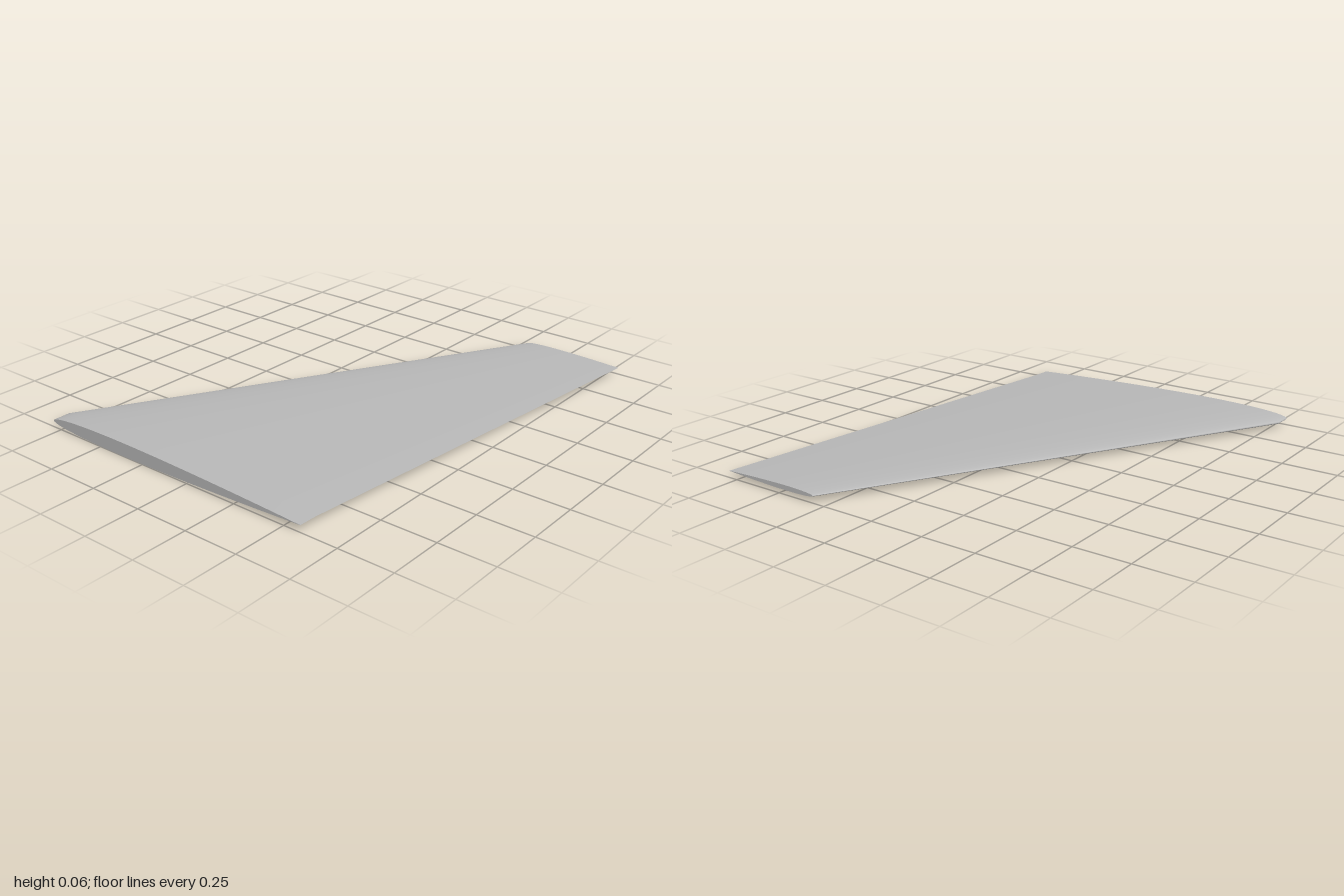
import * as THREE from 'three';

// Spanwise stations: z, leading edge x, trailing edge x, thickness
const STATIONS = [
  [1, -0.795, 0.58, 0.061],
  [0.92, -0.795, 0.583, 0.0605],
  [-1, 0.307, 0.793, 0.0212],
];
const STEPS = 64;
const MID_Y = 0.0305;

// Symmetric airfoil loop: trailing edge, over the top, round the nose, back underneath
function airfoil([, lead, trail, thick]) {
  const points = [];
  for (let j = 0; j <= STEPS; j++) {
    const a = (j / STEPS) * Math.PI * 2;
    const c = (1 + Math.cos(a)) / 2;
    const half = 5 * thick * (0.2969 * Math.sqrt(c) - 0.126 * c - 0.3516 * c ** 2 + 0.2843 * c ** 3 - 0.1036 * c ** 4);
    points.push(new THREE.Vector2(lead + (trail - lead) * c, MID_Y + (j <= STEPS / 2 ? half : -half)));
  }
  return points;
}

// Skin lofted through the stations, left open at the trailing edge so it stays sharp
function skinGeometry() {
  const positions = [], index = [], row = STEPS + 1;
  STATIONS.forEach((s, i) => {
    airfoil(s).forEach((p, j) => {
      positions.push(p.x, p.y, s[0]);
      if (i === STATIONS.length - 1 || j === STEPS) return;
      const a = i * row + j, b = a + 1, c = a + row, d = c + 1;
      index.push(a, c, b, b, c, d);
    });
  });
  const geometry = new THREE.BufferGeometry();
  geometry.setAttribute('position', new THREE.Float32BufferAttribute(positions, 3));
  geometry.setIndex(index);
  geometry.computeVertexNormals();
  return geometry;
}

// Flat end cap; the tip's outline is mirrored, then turned to face backwards
function capGeometry(station, facesBack) {
  const side = facesBack ? -1 : 1;
  const outline = airfoil(station).slice(0, STEPS).map((p) => new THREE.Vector2(p.x * side, p.y));
  const geometry = new THREE.ShapeGeometry(new THREE.Shape(outline));
  if (facesBack) geometry.rotateY(Math.PI);
  return geometry.translate(0, 0, station[0]);
}

export function createModel() {
  const model = new THREE.Group();
  model.name = 'wing';
  const grey = new THREE.MeshStandardMaterial({ color: 0xb8b8b8 });
  grey.name = 'light grey';

  const add = (name, geometry) => {
    const mesh = new THREE.Mesh(geometry, grey);
    mesh.name = name;
    model.add(mesh);
  };
  add('wingSkin', skinGeometry());
  add('rootCap', capGeometry(STATIONS[0], false));
  add('tipCap', capGeometry(STATIONS[STATIONS.length - 1], true));
  return model;
}
